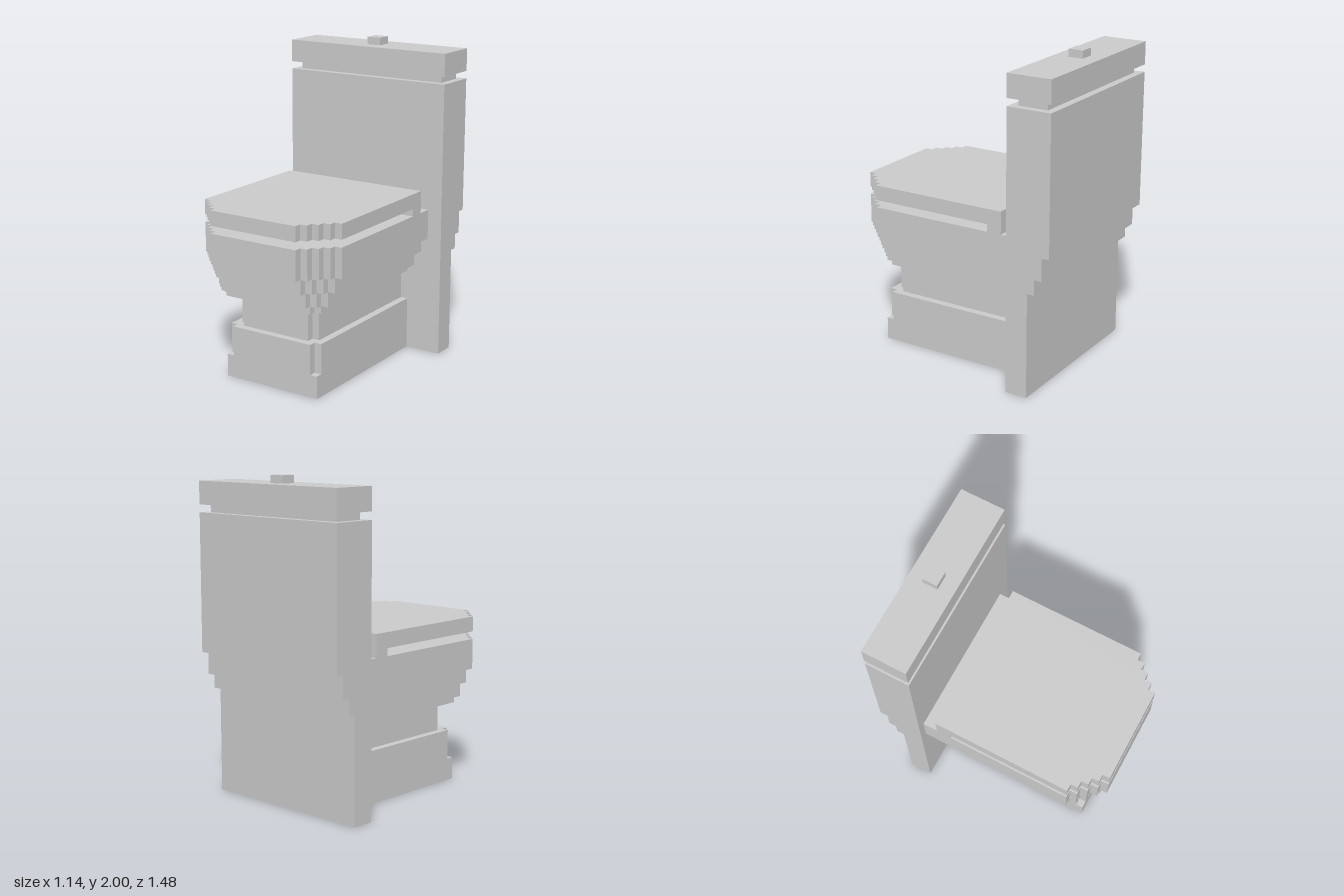
import * as THREE from 'three';

// All measures below are in blocks; the model is 42 blocks tall.
const U = 2 / 42;

export function createModel() {
  const model = new THREE.Group();
  const material = new THREE.MeshStandardMaterial({ color: 0xcccccc, flatShading: true });

  function add(name, geometry) {
    geometry.scale(U, U, U);
    const mesh = new THREE.Mesh(geometry, material);
    mesh.name = name;
    model.add(mesh);
  }

  function box(name, x0, x1, y0, y1, z0, z1) {
    const g = new THREE.BoxGeometry(x1 - x0, y1 - y0, z1 - z0);
    g.translate((x0 + x1) / 2, (y0 + y1) / 2, (z0 + z1) / 2);
    add(name, g);
  }

  // Slab whose two front corners are cut into a staircase of one-block steps
  function steppedSlab(name, x0, x1, y0, y1, back, front, steps) {
    const right = [], left = [];
    for (let i = 0; i <= steps; i++) {
      const z = front - steps + i;
      if (i > 0) {
        right.push([x1 - i, z - 1]);
        left.push([x0 + i, z - 1]);
      }
      right.push([x1 - i, z]);
      left.push([x0 + i, z]);
    }
    const outline = [[x0, back], [x1, back], ...right, ...left.reverse()];
    const shape = new THREE.Shape(outline.map(([x, z]) => new THREE.Vector2(x, -z)));
    const g = new THREE.ExtrudeGeometry(shape, { depth: y1 - y0, bevelEnabled: false });
    g.rotateX(-Math.PI / 2);
    g.translate(0, y0, 0);
    add(name, g);
  }

  // Tank and back column: side profile (z, y) with a stepped underside at the back
  const profile = [
    [-9.5, 0], [-9.5, 37], [-15.5, 37], [-15.5, 19], [-14.5, 19],
    [-14.5, 16], [-13.5, 16], [-13.5, 14], [-12.5, 14], [-12.5, 0],
  ];
  const tank = new THREE.ExtrudeGeometry(
    new THREE.Shape(profile.map(([z, y]) => new THREE.Vector2(z, y))),
    { depth: 24, bevelEnabled: false });
  tank.rotateY(-Math.PI / 2);
  tank.translate(12, 0, 0);
  add('tank', tank);
  box('tankNeck', -11, 11, 37, 38, -14.5, -10.5);
  box('tankLid', -12, 12, 38, 41, -15.5, -9.5);
  box('flushButton', -1, 1, 41, 42, -13.5, -11.5);

  // Seat lid and its hinge
  steppedSlab('seatLid', -11, 10, 21, 23, -7.5, 15.5, 4);
  box('seatHinge', -11, 10, 20, 21, -7.5, -5.5);

  // Bowl: each layer down is one block smaller
  const heights = [20, 16, 14, 12, 11];
  for (let i = 0; i < 4; i++) {
    steppedSlab(`bowlLayer${i + 1}`, -11 + i, 10 - i, heights[i + 1], heights[i], -9.5, 15.5 - i, 4 - i);
  }

  // Pedestal and foot
  steppedSlab('pedestal', -6, 6, 7, 11, -9.5, 11.5, 1);
  steppedSlab('footUpper', -7, 7, 3, 7, -9.5, 12.5, 1);
  box('footLower', -7, 7, 0, 3, -9.5, 12.5);

  return model;
}
